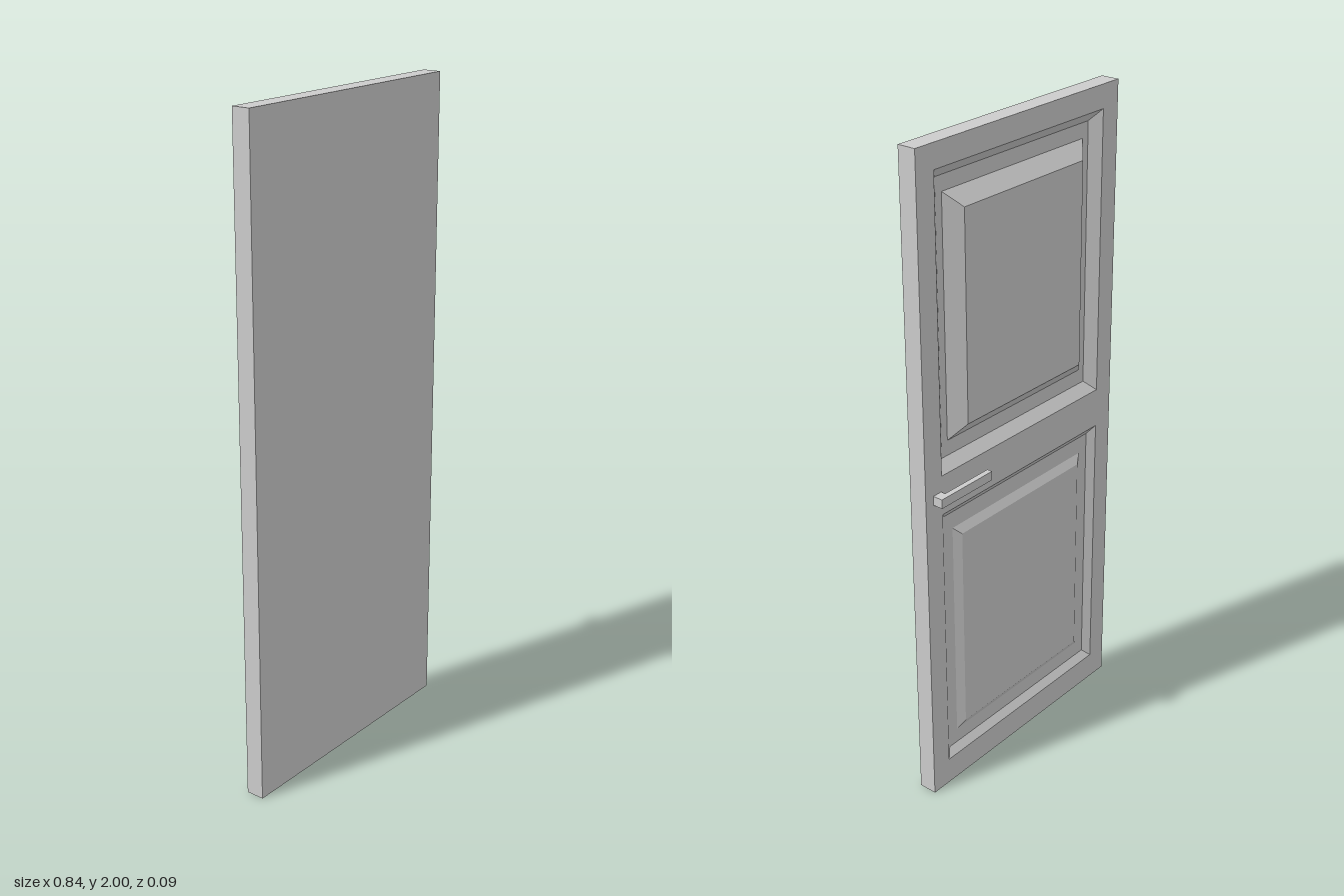
import * as THREE from 'three';

const FRONT = 0.044, BACK = -0.0125, HALF_W = 0.419;

// Rectangular loop: half width, bottom, top, depth position
const rect = (w, y0, y1, z) => ({ w, y0, y1, z });
const inset = (r, d, z) => rect(r.w - d, r.y0 + d, r.y1 - d, z);

// Skins rectangular loops one after another and caps the last; facing is +1 (front) or -1 (back)
function skinLoops(loops, facing) {
  const rings = loops.map(({ w, y0, y1, z }) =>
    [[-w, y0], [w, y0], [w, y1], [-w, y1]].map(([x, y]) => [x * facing, y, z]));
  const pos = [];
  const quad = (a, b, c, d) => pos.push(...a, ...b, ...c, ...a, ...c, ...d);
  for (let k = 0; k < rings.length - 1; k++) {
    for (let i = 0; i < 4; i++) {
      const j = (i + 1) % 4;
      quad(rings[k][i], rings[k][j], rings[k + 1][j], rings[k + 1][i]);
    }
  }
  quad(...rings[rings.length - 1]);
  const geometry = new THREE.BufferGeometry();
  geometry.setAttribute('position', new THREE.Float32BufferAttribute(pos, 3));
  geometry.computeVertexNormals();
  return geometry;
}

function tracePath(path, { w, y0, y1 }) {
  path.moveTo(-w, y0);
  path.lineTo(w, y0);
  path.lineTo(w, y1);
  path.lineTo(-w, y1);
  path.closePath();
  return path;
}

export function createModel() {
  const group = new THREE.Group();
  const material = new THREE.MeshStandardMaterial({ color: 0xcccccc, flatShading: true });
  const add = (name, geometry) => {
    const mesh = new THREE.Mesh(geometry, material);
    mesh.name = name;
    group.add(mesh);
  };

  const outline = rect(HALF_W, 0, 2, BACK);
  const panels = [
    { name: 'upperPanel', hole: rect(0.352, 1.062, 1.93, BACK), slope: 0.032, depth: 0.028,
      field: [0.295, 1.14, 1.853], bevel: 0.045, rise: 0.0375 },
    { name: 'lowerPanel', hole: rect(0.352, 0.085, 0.94, BACK), slope: 0.024, depth: 0.018,
      field: [0.293, 0.157, 0.863], bevel: 0.025, rise: 0.014 },
  ];

  // Plain front face and the four edges
  add('doorLeaf', skinLoops([outline, { ...outline, z: FRONT }], 1));

  // Rails and stiles around the two panel openings
  const frame = tracePath(new THREE.Shape(), outline);
  panels.forEach(p => frame.holes.push(tracePath(new THREE.Path(), p.hole)));
  add('backFrame', new THREE.ShapeGeometry(frame).rotateY(Math.PI).translate(0, 0, BACK));

  // Sloped recess, flat border, bevel and raised field
  for (const { name, hole, slope, depth, field, bevel, rise } of panels) {
    const floor = BACK + depth;
    const base = rect(...field, floor);
    add(name, skinLoops([hole, inset(hole, slope, floor), base, inset(base, bevel, floor - rise)], -1));
  }

  // L-shaped lever handle, drawn in x and z, extruded in height
  const lever = new THREE.Shape([
    [0.388, BACK], [0.356, BACK], [0.356, -0.027], [0.177, -0.027], [0.177, -0.044], [0.388, -0.044],
  ].map(([x, z]) => new THREE.Vector2(x, z)));
  add('handle', new THREE.ExtrudeGeometry(lever, { depth: 0.028, bevelEnabled: false })
    .rotateX(Math.PI / 2).translate(0, 1.014, 0));

  return group;
}
